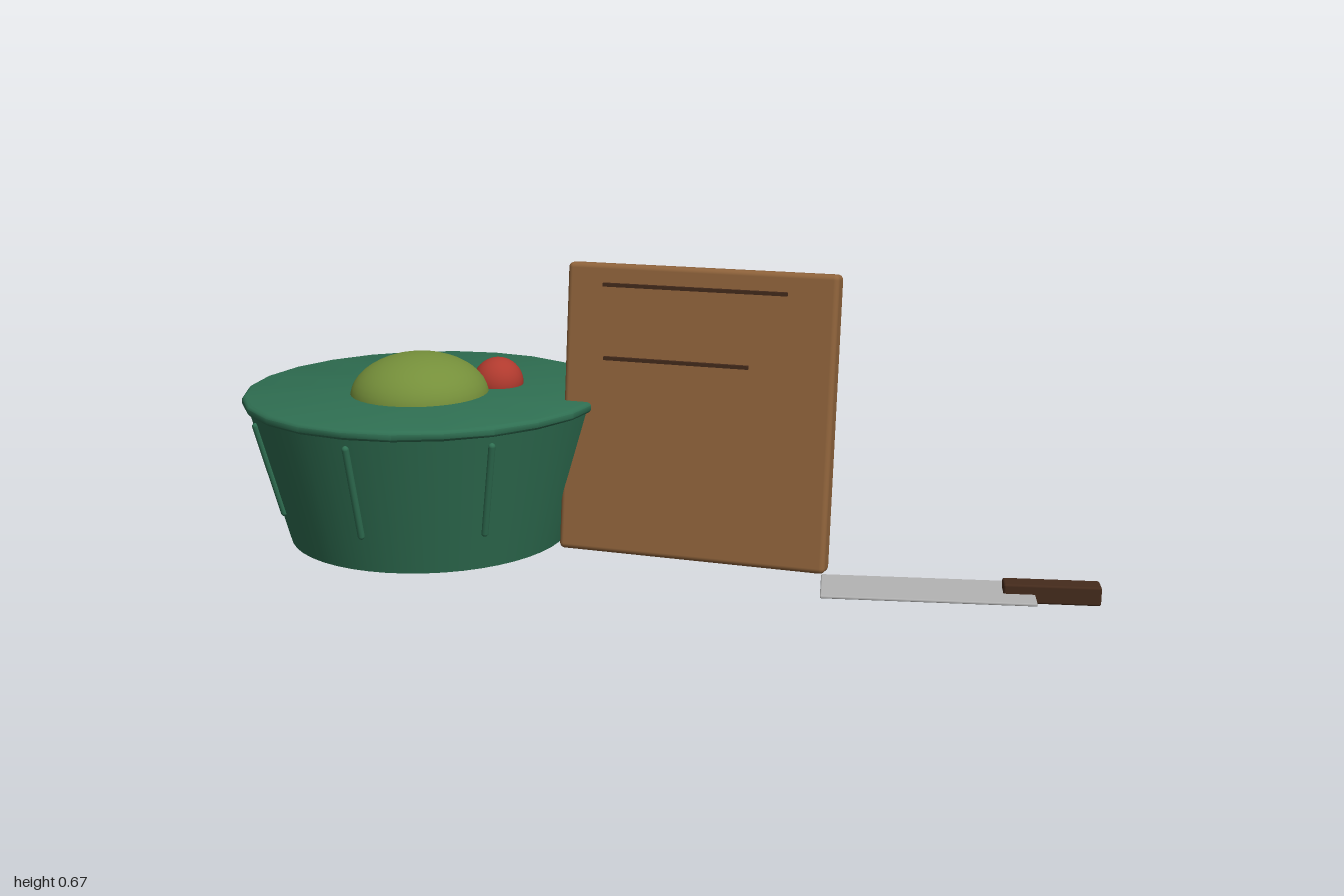
import * as THREE from 'three';
import { RoundedBoxGeometry } from 'three/addons/geometries/RoundedBoxGeometry.js';
import { toCreasedNormals } from 'three/addons/utils/BufferGeometryUtils.js';

const material = (color) => new THREE.MeshStandardMaterial({ color });
const green = material(0x2f6f52);
const wood = material(0x8f633b);
const darkWood = material(0x452b1c);
const olive = material(0x758f3a);
const red = material(0xb03a2e);
const steel = material(0xb4b4b4);

function add(parent, name, geometry, mat, x = 0, y = 0, z = 0) {
  const mesh = new THREE.Mesh(geometry, mat);
  mesh.name = name;
  mesh.position.set(x, y, z);
  parent.add(mesh);
  return mesh;
}

// Bowl with a rounded lid-like rim, eight slanted ribs and two fruits
function createBowl() {
  const bowl = new THREE.Group();
  bowl.name = 'bowl';
  bowl.position.x = -0.575;

  add(bowl, 'bowlBody', new THREE.CylinderGeometry(0.415, 0.33, 0.332, 48), green, 0, 0.173);

  const profile = [
    [0, 0.332], [0.416, 0.332], [0.422, 0.334], [0.426, 0.339],
    [0.426, 0.35], [0.422, 0.355], [0.416, 0.357], [0, 0.357],
  ].map(([r, y]) => new THREE.Vector2(r, y));
  add(bowl, 'bowlRim', toCreasedNormals(new THREE.LatheGeometry(profile, 24), 0.7), green);

  // Ribs follow the slope of the wall
  const low = new THREE.Vector3(0, 0.097, 0.355);
  const high = new THREE.Vector3(0, 0.309, 0.41);
  const ribGeometry = new THREE.CapsuleGeometry(0.008, low.distanceTo(high), 4, 10);
  for (let i = 0; i < 8; i++) {
    const pivot = new THREE.Group();
    pivot.name = 'ribPivot';
    pivot.rotation.y = (i * Math.PI) / 4;
    const middle = low.clone().lerp(high, 0.5);
    const rib = add(pivot, 'rib', ribGeometry, green, middle.x, middle.y, middle.z);
    rib.rotation.x = Math.atan2(high.z - low.z, high.y - low.y);
    bowl.add(pivot);
  }

  add(bowl, 'greenFruit', new THREE.SphereGeometry(0.162, 36, 24), olive, 0.002, 0.345, 0.042)
    .scale.y = 0.64;
  add(bowl, 'redFruit', new THREE.SphereGeometry(0.06, 28, 20), red, 0.146, 0.361, -0.087);
  return bowl;
}

// Leaning board with two thin dark strips standing in front of it
function createBoard() {
  const board = new THREE.Group();
  board.name = 'cuttingBoard';
  const slab = add(board, 'boardSlab', new RoundedBoxGeometry(0.625, 0.66, 0.056, 3, 0.012),
    wood, 0.0925, 0.34, 0);
  slab.rotation.x = -0.13;
  add(board, 'upperStrip', new THREE.BoxGeometry(0.42, 0.008, 0.008), darkWood, 0.095, 0.633, 0.043);
  add(board, 'lowerStrip', new THREE.BoxGeometry(0.335, 0.008, 0.008), darkWood, 0.0525, 0.466, 0.043);
  return board;
}

// Knife lying flat, turned slightly
function createKnife() {
  const knife = new THREE.Group();
  knife.name = 'knife';
  const blade = add(knife, 'knifeBlade', new RoundedBoxGeometry(0.455, 0.007, 0.142, 1, 0.003),
    steel, 0.6375, 0.018, 0.1);
  const handle = add(knife, 'knifeHandle', new RoundedBoxGeometry(0.205, 0.042, 0.048, 2, 0.005),
    darkWood, 0.8935, 0.021, 0.039);
  blade.rotation.y = handle.rotation.y = 0.2;
  return knife;
}

export function createModel() {
  const model = new THREE.Group();
  model.name = 'kitchenSet';
  model.add(createBowl(), createBoard(), createKnife());
  return model;
}
